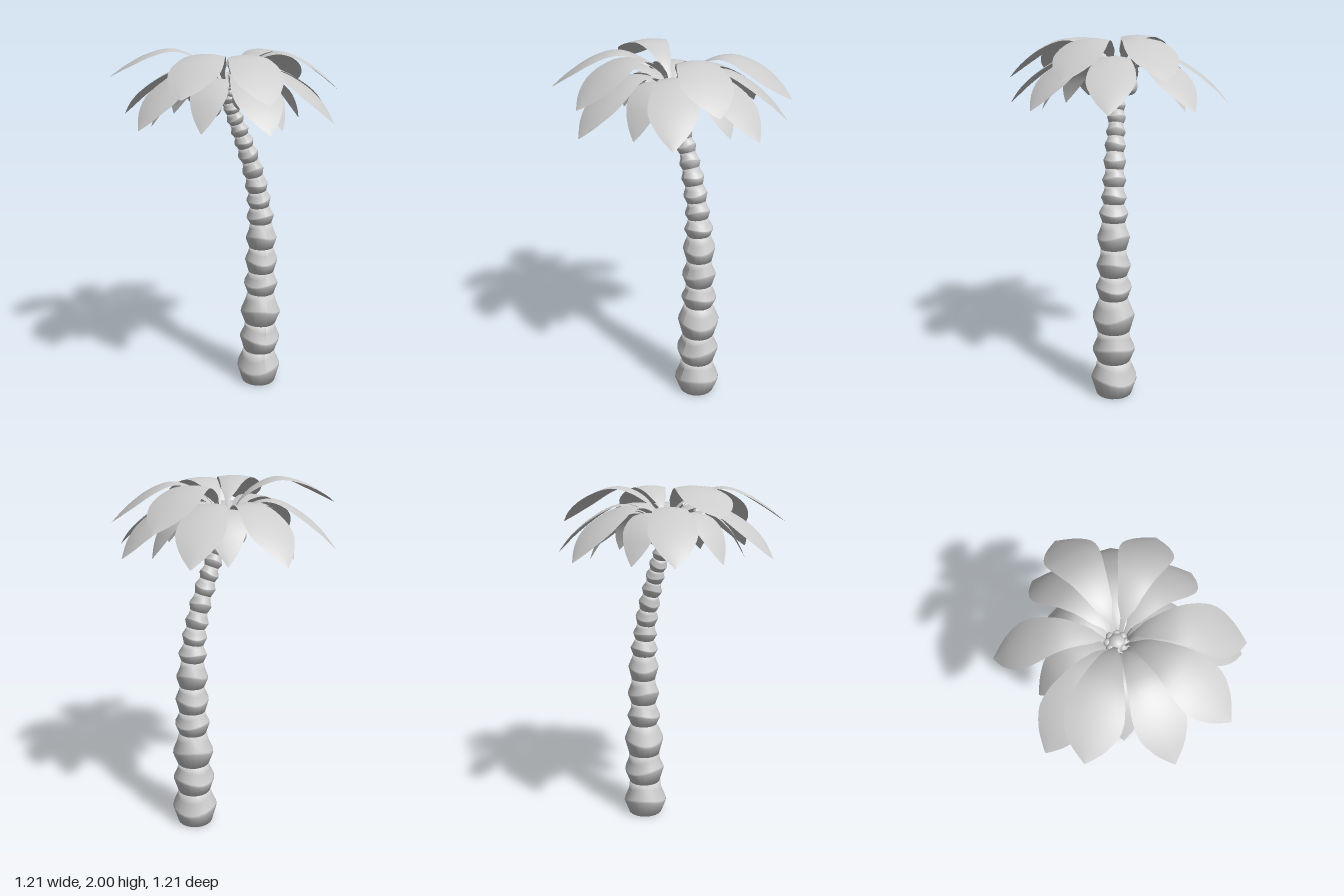
import * as THREE from 'three';

const mat = new THREE.MeshStandardMaterial({ color: 0xcccccc });
const leafMat = new THREE.MeshStandardMaterial({ color: 0xcccccc, side: THREE.DoubleSide });
const V = (x, y, z = 0) => new THREE.Vector3(x, y, z);

function add(parent, name, geometry, material = mat) {
  const mesh = new THREE.Mesh(geometry, material);
  mesh.name = name;
  parent.add(mesh);
  return mesh;
}

// Bent trunk made of stacked, bulging bark segments
function makeTrunk() {
  const trunk = new THREE.Group();
  trunk.name = 'trunk';
  const path = new THREE.CatmullRomCurve3([
    V(0.205, 0), V(0.21, 0.3), V(0.213, 0.6), V(0.212, 0.9), V(0.2, 1.1),
    V(0.162, 1.3), V(0.095, 1.5), V(0.035, 1.65), V(-0.01, 1.8),
  ]);
  const samples = path.getPoints(400);
  const at = y => samples.find(p => p.y >= y) || samples[400];
  const cuts = [0, 0.2, 0.38, 0.57, 0.71, 0.86, 1.01, 1.105, 1.2, 1.29, 1.38, 1.46, 1.53, 1.595, 1.655, 1.71, 1.76];
  const radii = [0.13, 0.12, 0.118, 0.1, 0.095, 0.09, 0.08, 0.07, 0.066, 0.062, 0.058, 0.054, 0.051, 0.048, 0.046, 0.044];
  radii.forEach((r, i) => {
    const a = at(cuts[i]), b = at(cuts[i + 1]);
    const h = a.distanceTo(b);
    const top = 0.79 * (radii[i + 1] || r) / r;
    const profile = [[0, 0], [0.78, 0], [1, 0.43], [0.98, 0.5], [0.78, 0.8], [top, 1], [0, 1]];
    const geo = new THREE.LatheGeometry(profile.map(([u, v]) => new THREE.Vector2(u * r, v * h)), 20);
    // Uneven bulge line around the stem
    const p = geo.attributes.position;
    for (let k = 0; k < p.count; k++) {
      const v = p.getY(k) / h;
      if (v > 0.01 && v < 0.95) {
        const ang = Math.atan2(p.getZ(k), p.getX(k));
        p.setY(k, p.getY(k) + 0.08 * h * Math.sin(2 * ang + i * 1.9));
      }
    }
    geo.computeVertexNormals();
    const seg = add(trunk, 'trunkSegment', geo);
    seg.position.copy(a);
    if (i) seg.quaternion.setFromUnitVectors(V(0, 1), b.clone().sub(a).normalize());
  });
  return trunk;
}

// Half width of a leaf from its thin stalk to its blunt tip
const halfWidth = new THREE.CatmullRomCurve3([
  V(0, 0.01), V(0.13, 0.014), V(0.2, 0.037), V(0.35, 0.066), V(0.5, 0.094),
  V(0.65, 0.119), V(0.76, 0.122), V(0.84, 0.102), V(0.925, 0.062), V(1, 0.003),
]).getPoints(120);

// Broad leaf: a strip along an arched [radius, height] path, slightly folded at the midrib
function makeLeaf(arch, length, width, tipLift) {
  const curve = new THREE.CatmullRomCurve3(arch.map(([r, y]) => V(r, y)));
  const n = 24, m = 6, pos = [], index = [];
  const reach = arch[arch.length - 1][0];
  for (let i = 0; i <= n; i++) {
    const c = curve.getPoint(i / n), s = c.x / reach;
    const w = width * (halfWidth.find(p => p.x >= s - 1e-6) || halfWidth[120]).y;
    for (let j = 0; j <= m; j++) {
      const e = j / m * 2 - 1;
      pos.push(s * length, c.y + tipLift * s * s - 0.12 * w * e * e, e * w);
      if (i < n && j < m) {
        const a = i * (m + 1) + j, b = a + m + 1;
        index.push(a, a + 1, b, a + 1, b + 1, b);
      }
    }
  }
  const geo = new THREE.BufferGeometry();
  geo.setAttribute('position', new THREE.Float32BufferAttribute(pos, 3));
  geo.setIndex(index);
  geo.computeVertexNormals();
  return geo;
}

// Three tiers of leaves; each leaf is [degrees, length, tip lift]
const tiers = [
  { name: 'upperLeaf', width: 1.06,
    arch: [[0.03, 1.79], [0.08, 1.88], [0.17, 1.95], [0.28, 1.98], [0.4, 1.94], [0.52, 1.855], [0.61, 1.77]],
    leaves: [[28, 0.63, 0.015], [-20, 0.6, 0.01], [-91.5, 0.605, 0], [-130, 0.645, 0.03], [165, 0.625, 0.085]] },
  { name: 'middleLeaf', width: 1,
    arch: [[0.03, 1.77], [0.08, 1.83], [0.17, 1.88], [0.27, 1.89], [0.4, 1.83], [0.52, 1.735], [0.61, 1.63]],
    leaves: [[90, 0.61, 0], [45, 0.6, 0], [2, 0.605, 0], [-41, 0.59, 0], [-91, 0.605, 0], [-156, 0.61, 0], [144, 0.6, 0]] },
  { name: 'lowerLeaf', width: 0.78,
    arch: [[0.03, 1.75], [0.08, 1.81], [0.16, 1.855], [0.24, 1.85], [0.33, 1.78], [0.39, 1.69], [0.43, 1.61]],
    leaves: [[116, 0.43, 0], [63, 0.42, 0], [0, 0.43, 0], [-69, 0.42, 0], [-128, 0.43, 0], [182, 0.43, 0]] },
];

export function createModel() {
  const palm = new THREE.Group();
  palm.name = 'palmTree';
  palm.add(makeTrunk());

  const crown = new THREE.Group();
  crown.name = 'crown';
  palm.add(crown);
  for (const { name, arch, width, leaves } of tiers) {
    for (const [deg, length, lift] of leaves) {
      add(crown, name, makeLeaf(arch, length, width, lift), leafMat).rotation.y = THREE.MathUtils.degToRad(deg);
    }
  }

  // Knobbly heart where the stalks meet
  const heart = add(crown, 'crownHeart', new THREE.SphereGeometry(0.05, 16, 12));
  heart.position.set(-0.008, 1.78, -0.008);
  heart.scale.y = 1.1;
  for (let i = 0; i < 16; i++) {
    const a = i * Math.PI / 4 + (i < 8 ? 0 : Math.PI / 8);
    const bud = add(crown, 'crownBud', new THREE.SphereGeometry(0.02, 10, 8));
    bud.position.set(-0.008 + 0.042 * Math.cos(a), i < 8 ? 1.8 : 1.765, -0.008 + 0.042 * Math.sin(a));
  }

  // Hanging nuts
  for (const [x, y, z] of [[-0.08, 1.69, -0.005], [0.045, 1.735, 0.085], [0.02, 1.73, -0.064]]) {
    const nut = add(palm, 'coconut', new THREE.SphereGeometry(0.047, 20, 14));
    nut.position.set(x, y, z);
    nut.scale.y = 1.12;
  }
  return palm;
}
